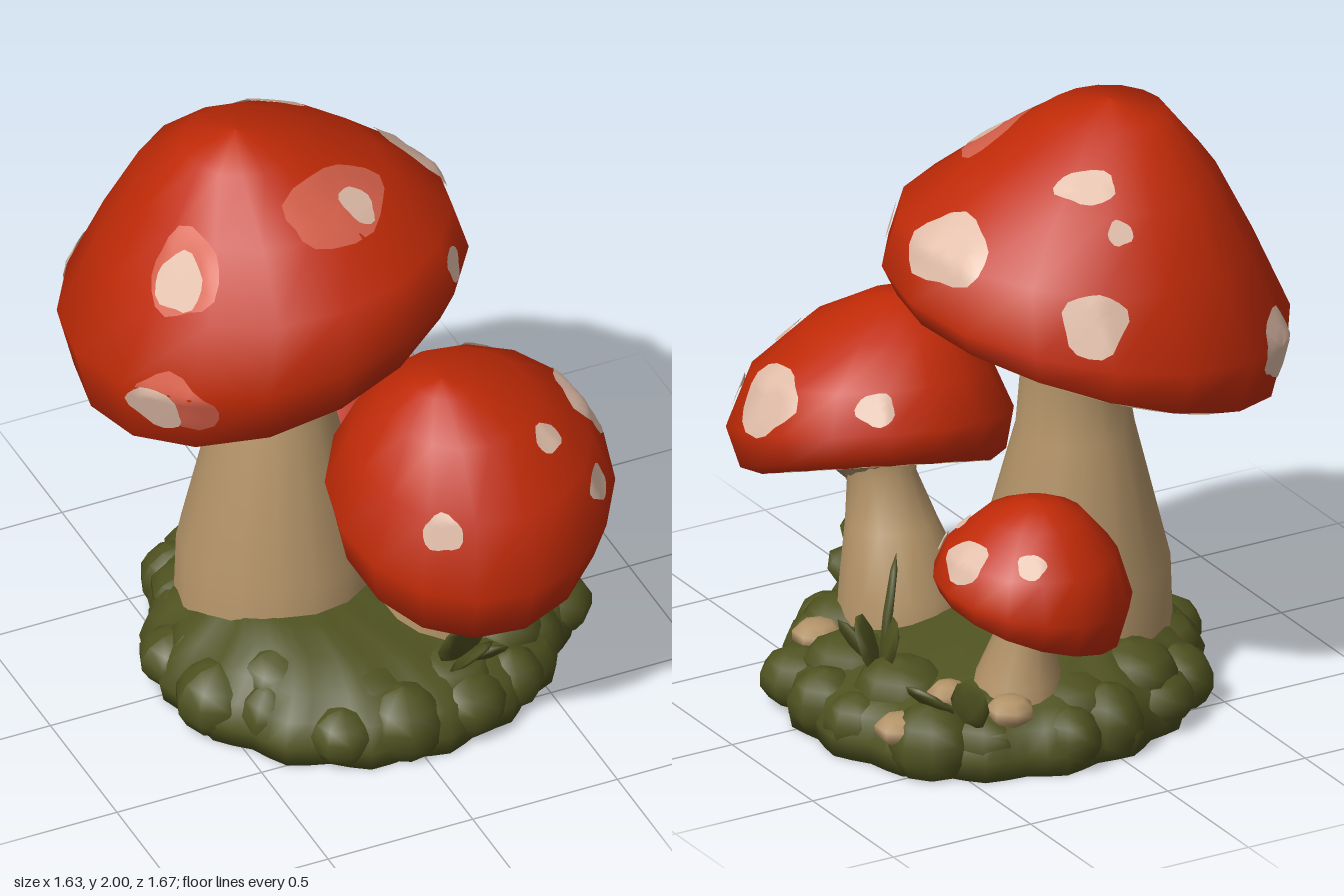
import * as THREE from 'three';

const paint = (name, color, side = THREE.FrontSide) => {
  const m = new THREE.MeshStandardMaterial({ color, side });
  m.name = name;
  return m;
};
const red = paint('cap red', 0xc02a07);
const cream = paint('spot cream', 0xe0bca8, THREE.DoubleSide);
const pink = paint('spot pink', 0xd6604a, THREE.DoubleSide);
const tan = paint('stem tan', 0xb39368);
const gillTan = paint('gill tan', 0xa08662, THREE.DoubleSide);
const moss = paint('moss green', 0x4f5220);

function add(parent, name, geometry, material) {
  const mesh = new THREE.Mesh(geometry, material);
  mesh.name = name;
  parent.add(mesh);
  return mesh;
}

// Skin over tilted rings, each [x, y, z, radius, slope along x, slope along z]
function skin(rings, n, wobble = () => 0, pleat = 0) {
  const pos = [], index = [];
  const last = rings.length - 1;
  rings.forEach(([cx, cy, cz, r, a = 0, b = 0], i) => {
    // Pleats are deepest away from the centre and fade out at the last ring
    const depth = i < last && pleat ? pleat * (r / rings[last][3]) ** 2 : 0;
    for (let j = 0; j < n; j++) {
      const t = (j / n) * Math.PI * 2;
      const rr = r * (1 + wobble(t));
      const x = rr * Math.cos(t), z = rr * Math.sin(t);
      pos.push(cx + x, cy + a * x + b * z + (j % 2 ? depth : -depth), cz + z);
      if (i < last) {
        const k = (j + 1) % n, p = i * n + j, q = i * n + k;
        index.push(p, p + n, q, p + n, q + n, q);
      }
    }
  });
  const g = new THREE.BufferGeometry();
  g.setAttribute('position', new THREE.Float32BufferAttribute(pos, 3));
  g.setIndex(index);
  g.computeVertexNormals();
  return g;
}

// Thin irregular patch draped on the cap around a point
function spot(cap, core, [x, y, z, w, h], lift, seed) {
  const c = new THREE.Vector3(...core), p = new THREE.Vector3(x, y, z);
  const out = p.clone().sub(c).normalize();
  const side = new THREE.Vector3(0, 1, 0).cross(out).normalize();
  const up = out.clone().cross(side);
  const n = 18, rows = 4, pos = [], index = [];
  const ray = new THREE.Raycaster();
  for (let i = 0; i <= rows; i++) {
    for (let j = 0; j < n; j++) {
      const t = (j / n) * Math.PI * 2;
      const k = (i / rows) * (1 + 0.08 * Math.sin(3 * t + seed) + 0.05 * Math.sin(5 * t + seed * 2));
      const q = p.clone().addScaledVector(side, w * k * Math.cos(t)).addScaledVector(up, h * k * Math.sin(t));
      const d = q.sub(c).normalize();
      ray.set(c.clone().addScaledVector(d, 3), d.clone().negate());
      const hit = ray.intersectObject(cap)[0];
      const s = (hit ? hit.point : p).clone().addScaledVector(d, lift);
      pos.push(s.x, s.y, s.z);
      if (i < rows) {
        const m = (j + 1) % n, a = i * n + j, b = i * n + m;
        index.push(a, a + n, b, a + n, b + n, b);
      }
    }
  }
  const g = new THREE.BufferGeometry();
  g.setAttribute('position', new THREE.Float32BufferAttribute(pos, 3));
  g.setIndex(index);
  g.computeVertexNormals();
  return g;
}

function mushroom(name, { cap, stem, core, spots, halos = [], seed }) {
  const g = new THREE.Group();
  g.name = name;
  const wobble = t => 0.004 + 0.01 * Math.sin(3 * t + seed);
  const capMesh = add(g, 'cap', skin(cap, 16, wobble), red);
  capMesh.updateMatrixWorld();
  // Pleated gills arch up from the lip, then funnel down onto the stem
  const [x, y, z, r, a, b] = cap[0];
  add(g, 'gills', skin([
    [x, y - r * 0.1, z, r * 0.25, a * 0.6, b * 0.6],
    [x, y + r * 0.05, z, r * 0.4, a, b],
    [x, y + r * 0.12, z, r * 0.62, a, b],
    [x, y + r * 0.1, z, r * 0.85, a, b],
    [x, y, z, r, a, b],
  ], 48, wobble, r * 0.02), gillTan);
  add(g, 'stem', skin(stem, 16), tan);
  halos.forEach((s, i) => add(g, 'paleHalo', spot(capMesh, core, s, 0.005, i + seed), pink));
  spots.forEach((s, i) => add(g, 'spot', spot(capMesh, core, s, 0.009, i * 2 + seed), cream));
  return g;
}

const large = {
  seed: 1, core: [-0.19, 1.5, -0.18],
  cap: [
    [-0.17, 1.195, -0.21, 0.53, 0.3, 0.06], [-0.18, 1.22, -0.19, 0.595, 0.28, 0.07],
    [-0.19, 1.38, -0.178, 0.645, 0.14, 0.09], [-0.16, 1.6, -0.16, 0.56, 0.08, 0.06],
    [-0.2, 1.79, -0.175, 0.4, 0.02, 0.02], [-0.27, 1.96, -0.16, 0.19], [-0.28, 2, -0.17, 0],
  ],
  stem: [
    [-0.17, 0.1, -0.12, 0.32], [-0.17, 0.42, -0.12, 0.31], [-0.16, 0.9, -0.15, 0.19],
    [-0.15, 1.1, -0.15, 0.165], [-0.16, 1.2, -0.17, 0.175, 0.2, 0.05], [-0.17, 1.28, -0.19, 0.215, 0.3, 0.06],
  ],
  halos: [[-0.06, 1.85, 0.13, 0.22, 0.13], [-0.57, 1.7, 0.08, 0.12, 0.14], [-0.67, 1.31, 0.22, 0.15, 0.1]],
  spots: [
    [0, 1.83, 0.14, 0.055, 0.07], [-0.58, 1.67, 0.08, 0.08, 0.09], [-0.72, 1.27, 0.17, 0.1, 0.085],
    [0.29, 1.56, 0.22, 0.06, 0.055], [0.36, 1.66, -0.25, 0.165, 0.115], [-0.03, 1.86, -0.44, 0.1, 0.065],
    [0.1, 1.51, -0.72, 0.11, 0.1], [-0.07, 1.74, -0.58, 0.04, 0.04], [-0.58, 1.28, -0.63, 0.1, 0.1],
  ],
};

const medium = {
  seed: 3, core: [0.28, 0.88, 0.37],
  cap: [
    [0.29, 0.67, 0.32, 0.36, 0.17, -0.42], [0.285, 0.69, 0.35, 0.42, 0.16, -0.43],
    [0.28, 0.82, 0.38, 0.455, 0.1, -0.28], [0.28, 1, 0.38, 0.38, 0.05, -0.18],
    [0.24, 1.15, 0.37, 0.24, 0, -0.1], [0.2, 1.22, 0.36, 0.1], [0.19, 1.235, 0.36, 0],
  ],
  stem: [
    [0.26, 0.1, 0.21, 0.21], [0.26, 0.32, 0.2, 0.205], [0.27, 0.52, 0.26, 0.145],
    [0.28, 0.65, 0.3, 0.11, 0, -0.3], [0.29, 0.73, 0.32, 0.14, 0.1, -0.42],
  ],
  spots: [
    [0.45, 1.08, 0.59, 0.055, 0.05], [0.61, 0.89, 0.65, 0.065, 0.055], [0.66, 0.99, 0.34, 0.135, 0.115],
    [0.04, 0.9, 0.69, 0.065, 0.06], [0.46, 1.02, 0.03, 0.06, 0.05],
  ],
};

const small = {
  seed: 5, core: [0.19, 0.6, -0.48],
  cap: [
    [0.2, 0.445, -0.465, 0.25, 0.3, 0.14], [0.195, 0.455, -0.475, 0.285, 0.28, 0.14],
    [0.19, 0.555, -0.485, 0.315, 0.12, 0.08], [0.19, 0.68, -0.48, 0.27, 0.04, 0.03],
    [0.18, 0.79, -0.47, 0.16], [0.175, 0.83, -0.47, 0.07], [0.175, 0.84, -0.47, 0],
  ],
  stem: [
    [0.24, 0.1, -0.46, 0.155], [0.23, 0.25, -0.46, 0.135], [0.21, 0.39, -0.46, 0.09], [0.2, 0.48, -0.465, 0.11, 0.25, 0.14],
  ],
  spots: [
    [0.44, 0.7, -0.5, 0.09, 0.07], [0.32, 0.73, -0.7, 0.05, 0.045],
    [0.35, 0.75, -0.32, 0.035, 0.03], [0.38, 0.67, -0.29, 0.035, 0.03],
  ],
};

// Leaf blade stretched from its root to its tip
function leaf(parent, root, tip, spin) {
  const a = new THREE.Vector3(...root), b = new THREE.Vector3(...tip);
  const dir = b.clone().sub(a);
  const geo = new THREE.SphereGeometry(1, 6, 4).scale(0.08, dir.length() / 2, 0.018).rotateY(spin);
  const m = add(parent, 'leaf', geo, moss);
  m.position.copy(a).add(b).multiplyScalar(0.5);
  m.quaternion.setFromUnitVectors(new THREE.Vector3(0, 1, 0), dir.normalize());
}

// Squashed moss clump, flattened where it meets the ground
function clump(parent, x, y, z, r, h) {
  const geo = new THREE.SphereGeometry(1, 9, 7).scale(r, h, r).translate(x, y, z);
  const p = geo.attributes.position;
  for (let i = 0; i < p.count; i++) p.setY(i, Math.max(0.002, p.getY(i)));
  geo.computeVertexNormals();
  add(parent, 'mossClump', geo, moss);
}

export function createModel() {
  const model = new THREE.Group();
  model.name = 'mushroomCluster';
  model.add(mushroom('largeMushroom', large), mushroom('mediumMushroom', medium), mushroom('smallMushroom', small));

  // Mossy mound, narrower along one diagonal
  const ground = new THREE.Group();
  ground.name = 'mossyGround';
  model.add(ground);
  const oval = t => -0.05 * Math.sin(2 * t);
  const scallop = t => oval(t) + 0.025 * Math.sin(17 * t);
  add(ground, 'mound', skin([
    [0.08, 0, -0.04, 0], [0.08, 0, -0.04, 0.68], [0.08, 0.07, -0.04, 0.695], [0.08, 0.15, -0.04, 0.66],
    [0.07, 0.2, -0.04, 0.59, -0.03], [0.03, 0.25, -0.05, 0.46, -0.06], [-0.06, 0.3, -0.08, 0.32, -0.06], [-0.1, 0.32, -0.1, 0],
  ], 68, scallop), moss);
  for (let i = 0; i < 18; i++) {
    const t = (i / 18) * Math.PI * 2 + 0.08 * Math.sin(i * 3.1);
    const r = (0.6 + 0.025 * Math.sin(i * 2.4)) * (1 + oval(t));
    clump(ground, 0.08 + r * Math.cos(t), 0.09, -0.04 + r * Math.sin(t), 0.125 + 0.02 * Math.sin(i * 1.7), 0.115 + 0.02 * Math.sin(i * 4));
  }
  for (let i = 0; i < 11; i++) {
    const t = (i / 11) * Math.PI * 2 + 0.2;
    clump(ground, 0.06 + 0.48 * Math.cos(t), 0.16, -0.04 + 0.48 * Math.sin(t), 0.16, 0.09 + 0.02 * Math.sin(i * 2));
  }

  // Leaf tufts: root followed by the tips
  const tufts = [
    [[0.2, 0.18, 0.45], [0.15, 0.45, 0.61], [0.31, 0.29, 0.57], [0.2, 0.36, 0.65]],
    [[0.52, 0.18, -0.1], [0.61, 0.39, -0.1], [0.42, 0.54, -0.03], [0.52, 0.39, -0.21], [0.6, 0.33, 0.03]],
    [[0.48, 0.17, -0.5], [0.62, 0.28, -0.43], [0.48, 0.32, -0.68]],
  ];
  tufts.forEach(([root, ...tips], i) => tips.forEach((tip, j) => leaf(ground, root, tip, i * 0.8 + j * 0.2)));

  // Stones peeking out of the moss
  for (const [x, y, z, r] of [[0.56, 0.195, 0.22, 0.085], [0.64, 0.14, -0.43, 0.085], [0.34, 0.2, -0.6, 0.08], [0.46, 0.21, -0.42, 0.07]]) {
    add(ground, 'stone', new THREE.SphereGeometry(1, 7, 5).scale(r, 0.05, r), tan).position.set(x, y, z);
  }
  return model;
}
